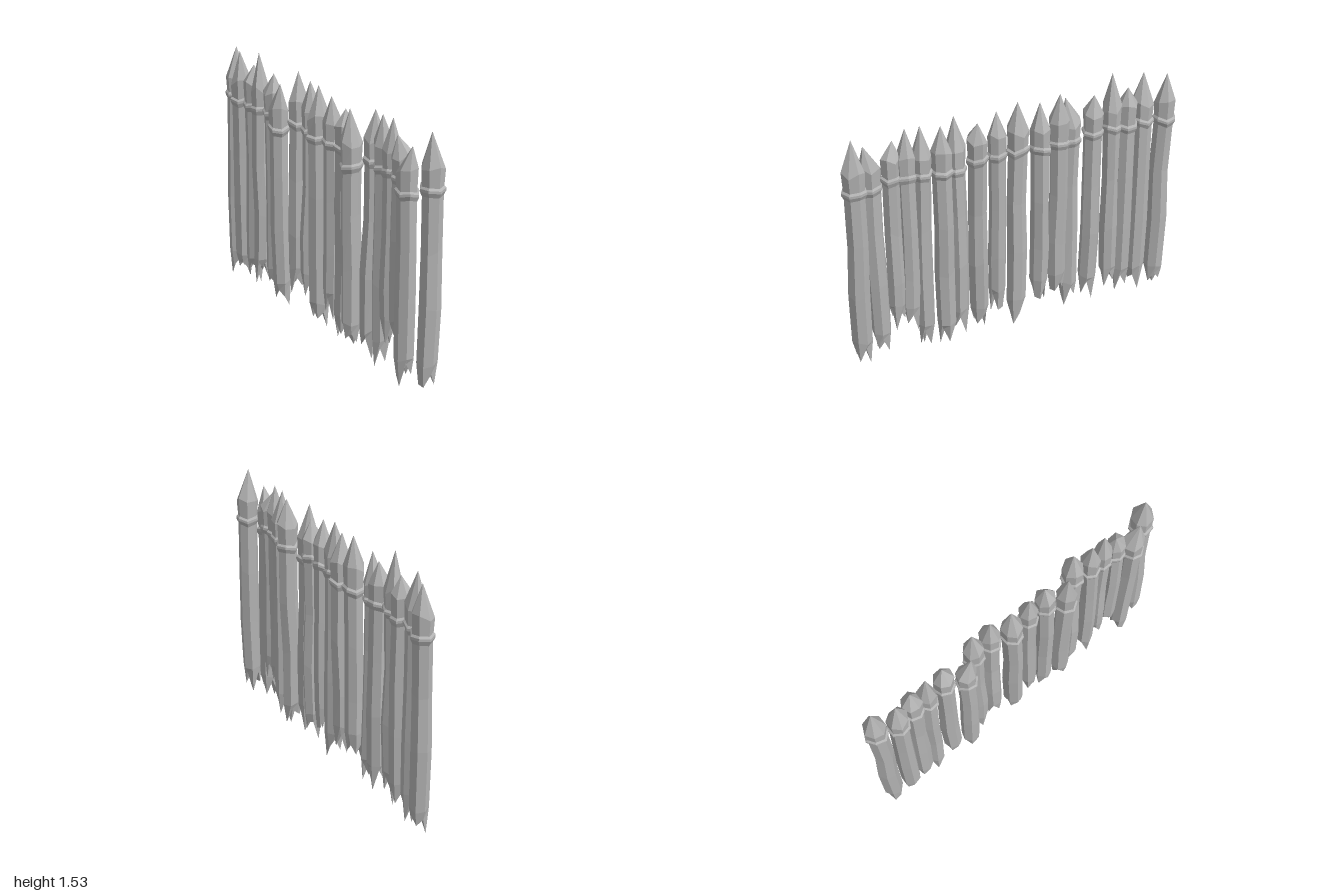
import * as THREE from 'three';

const SIDES = 7;

// Small seeded generator giving values from -1 to 1
function makeRandom(seed) {
  let s = seed;
  return () => {
    s = (s * 16807) % 2147483647;
    return (s / 2147483647) * 2 - 1;
  };
}

// Skin a stack of rings, listed from bottom to top; a ring may collapse to one point
function loft(rings) {
  const idx = [];
  for (let i = 0; i < rings.length - 1; i++) {
    for (let j = 0; j < SIDES; j++) {
      const a = i * SIDES + j, b = i * SIDES + ((j + 1) % SIDES);
      const c = a + SIDES, d = b + SIDES;
      if (!rings[i].isPoint) idx.push(a, c, b);
      if (!rings[i + 1].isPoint) idx.push(b, c, d);
    }
  }
  const g = new THREE.BufferGeometry();
  g.setAttribute('position', new THREE.Float32BufferAttribute(rings.flat(2), 3));
  g.setIndex(idx);
  const flat = g.toNonIndexed();
  flat.computeVertexNormals();
  return flat;
}

function pointRing(x, y, z) {
  const ring = Array.from({ length: SIDES }, () => [x, y, z]);
  ring.isPoint = true;
  return ring;
}

// Each stake: x, z, radius, tip height, foot height, and sideways shift of a crooked tip
const STAKES = [
  [-0.93, -0.035, 0.058, 1.48, 0],
  [-0.81, 0.005, 0.057, 1.49, 0.02],
  [-0.7, -0.01, 0.055, 1.43, 0.04],
  [-0.61, 0, 0.052, 1.53, 0.06],
  [-0.49, -0.01, 0.055, 1.43, 0.05],
  [-0.375, 0.035, 0.055, 1.42, 0.02, 0.035],
  [-0.27, -0.03, 0.056, 1.5, 0.13],
  [-0.15, -0.04, 0.056, 1.475, 0.13],
  [-0.03, 0, 0.059, 1.49, 0.01],
  [0.095, -0.01, 0.05, 1.46, 0.12],
  [0.21, -0.01, 0.055, 1.42, 0.03],
  [0.325, 0.035, 0.056, 1.465, 0.03],
  [0.435, -0.04, 0.056, 1.475, 0.01],
  [0.54, -0.02, 0.052, 1.485, 0.01],
  [0.625, -0.01, 0.05, 1.49, 0.16],
  [0.71, 0, 0.05, 1.42, 0.2, -0.02],
  [0.81, 0.035, 0.055, 1.41, 0.02, 0.035],
  [0.925, -0.035, 0.059, 1.5, 0.03],
];

export function createModel() {
  const group = new THREE.Group();
  group.name = 'palisade';
  const grey = new THREE.MeshStandardMaterial({ color: 0xb4b4b4 });
  grey.name = 'weathered grey';

  STAKES.forEach(([x, z, r, tipY, footY, tipShift = 0], n) => {
    const rnd = makeRandom(1237 + n * 7919);
    for (let k = 0; k < 5; k++) rnd();
    const turn = rnd() * Math.PI;
    const lumps = Array.from({ length: SIDES }, () => 1 + rnd() * 0.06);

    // Stakes standing forward are bound lower, and feet stand nearer the fence line
    const bandY = 1.19 - Math.max(0, z) * 1.4;
    const footX = x + rnd() * 0.012;
    const footZ = z * 0.6;

    // Ring around the leaning axis of the stake
    const ring = (y, scale, jitterY = 0, dx = 0, dz = 0) => {
      const t = Math.min(y / 1.2, 1);
      const cx = THREE.MathUtils.lerp(footX, x, t) + dx;
      const cz = THREE.MathUtils.lerp(footZ, z, t) + dz;
      return lumps.map((lump, j) => {
        const a = turn + (j / SIDES) * Math.PI * 2;
        const rr = r * scale * lump;
        return [cx + Math.cos(a) * rr, y + rnd() * jitterY, cz + Math.sin(a) * rr];
      });
    };

    // Splintered foot: uneven teeth around a hollow, one of them longest
    const longest = Math.floor((rnd() + 1) * 3.49);
    const teeth = ring(footY, 0.74).map(([px, py, pz], j) => {
      const base = (j + longest) % 2 ? 0.1 : 0.03;
      const lift = j === longest ? 0 : base + Math.abs(rnd()) * 0.045;
      return [px, py + lift, pz];
    });
    const stake = new THREE.Mesh(loft([
      pointRing(footX, footY + 0.14, footZ),
      teeth,
      ring(footY + 0.17, 1, 0.015),
      ring(0.52, 1.04, 0.02, rnd() * 0.006, rnd() * 0.008),
      ring(0.85, 0.98, 0.02, rnd() * 0.006, rnd() * 0.008),
      ring(bandY, 0.98),
      ring(bandY + 0.125, 1.09, 0.025),
      pointRing(x + tipShift, tipY, z + rnd() * 0.012),
    ]), grey);
    stake.name = 'stake';

    // Binding: a flared collar with a wavy rim
    const wave = lumps.map(() => rnd() * 0.014);
    const bandRing = (dy, scale) =>
      ring(bandY + dy, scale).map(([px, py, pz], j) => [px, py + wave[j], pz]);
    const binding = new THREE.Mesh(loft([
      bandRing(-0.032, 0.94),
      bandRing(0, 1.19),
      bandRing(0.014, 1.18),
      bandRing(0.028, 0.95),
    ]), grey);
    binding.name = 'binding';

    const post = new THREE.Group();
    post.name = 'boundStake';
    post.add(stake, binding);
    group.add(post);
  });

  return group;
}
